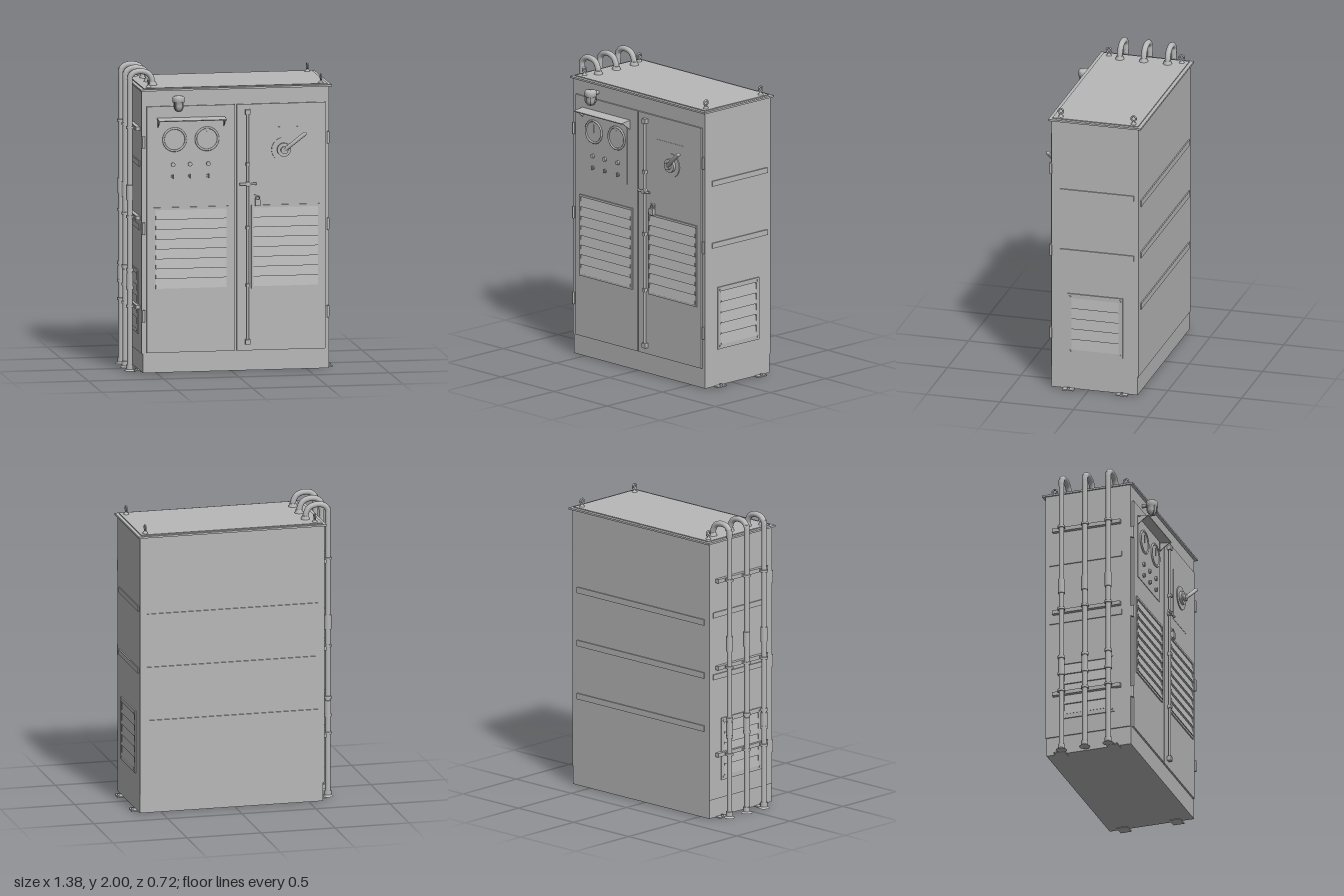
import * as THREE from 'three';

export function createModel() {
  const root = new THREE.Group();
  root.name = 'electricalCabinet';
  const paint = new THREE.MeshStandardMaterial({ color: 0xb8b8b8 });
  paint.name = 'greyPaint';

  const add = (name, geo, x = 0, y = 0, z = 0, parent = root) => {
    const m = new THREE.Mesh(geo, paint);
    m.name = name;
    m.position.set(x, y, z);
    parent.add(m);
    return m;
  };
  // Box given by its limits on each axis
  const box = (name, x0, x1, y0, y1, z0, z1, parent = root) =>
    add(name, new THREE.BoxGeometry(x1 - x0, y1 - y0, z1 - z0),
      (x0 + x1) / 2, (y0 + y1) / 2, (z0 + z1) / 2, parent);
  const cyl = (name, r0, r1, h, x, y, z, parent = root, seg = 20) =>
    add(name, new THREE.CylinderGeometry(r0, r1, h, seg), x, y, z, parent);
  // Disc whose axis points to the front
  const disc = (name, r, x, y, z0, z1, parent = root) => {
    const m = cyl(name, r, r, z1 - z0, x, y, (z0 + z1) / 2, parent, 32);
    m.rotation.x = Math.PI / 2;
    return m;
  };
  const tube = (name, pts, r, parent = root) => add(name, new THREE.TubeGeometry(
    new THREE.CatmullRomCurve3(pts.map(p => new THREE.Vector3(...p))), 40, r, 14), 0, 0, 0, parent);

  // Body, plinth and roof
  box('body', -0.6, 0.645, 0.13, 1.87, -0.34, 0.25);
  box('plinth', -0.592, 0.645, 0.004, 0.13, -0.335, 0.25);
  box('roofFlange', -0.61, 0.66, 1.868, 1.88, -0.36, 0.27);
  box('roofPlate', -0.586, 0.637, 1.88, 1.886, -0.336, 0.246);

  // Doors, with their hinges
  box('leftHandDoor', -0.567, 0.018, 0.137, 1.765, 0.25, 0.262);
  box('rightHandDoor', 0.03, 0.62, 0.137, 1.765, 0.25, 0.262);
  for (const x of [-0.588, 0.636]) for (const y of [0.38, 0.96, 1.53]) {
    cyl('hinge', 0.008, 0.008, 0.08, x, y, 0.26);
    box('hingeLeaf', x - 0.012, x + 0.012, y - 0.036, y + 0.036, 0.248, 0.256);
  }

  // Louvred panel facing +z around its own centre
  function louvre(name, w, h, count, sw, sh, depth) {
    const g = new THREE.Group();
    g.name = name;
    const s = new THREE.Shape();
    s.moveTo(-w / 2, -h / 2).lineTo(w / 2, -h / 2).lineTo(w / 2, h / 2).lineTo(-w / 2, h / 2).closePath();
    const hole = new THREE.Path();
    hole.moveTo(-sw / 2, -sh / 2).lineTo(-sw / 2, sh / 2).lineTo(sw / 2, sh / 2).lineTo(sw / 2, -sh / 2).closePath();
    s.holes.push(hole);
    add('louvreFrame', new THREE.ExtrudeGeometry(s, { depth: 0.008, bevelEnabled: false }), 0, 0, 0, g);
    const pitch = sh / count;
    // Wedge slat: slopes outwards towards its lower edge
    const p = new THREE.Shape();
    p.moveTo(0, 0).lineTo(-depth, 0).lineTo(0, pitch * 0.96).closePath();
    const slat = new THREE.ExtrudeGeometry(p, { depth: sw, bevelEnabled: false });
    slat.rotateY(Math.PI / 2).translate(-sw / 2, 0, 0);
    for (let i = 0; i < count; i++) add('slat', slat, 0, -sh / 2 + i * pitch, 0, g);
    root.add(g);
    return g;
  }
  // Extruded profile x maps to -z, so negative profile values stand out in front
  louvre('leftHandDoorVent', 0.5, 0.55, 8, 0.47, 0.52, 0.014).position.set(-0.275, 0.822, 0.262);
  louvre('rightHandDoorVent', 0.455, 0.55, 8, 0.43, 0.52, 0.014).position.set(0.353, 0.822, 0.262);
  for (const s of [-1, 1]) {
    const v = louvre('sideVent', 0.375, 0.42, 5, 0.32, 0.36, 0.01);
    v.rotation.y = s * Math.PI / 2;
    v.position.set(s > 0 ? 0.645 : -0.6, 0.46, -0.047);
    for (const a of [-0.17, 0.17]) for (const b of [-0.19, 0.19]) disc('ventScrew', 0.007, a, b, 0.006, 0.013, v);
  }

  // Stiffening strips on the sides and back
  for (const y of [0.96, 1.38]) {
    box('sideStrip', 0.644, 0.653, y - 0.018, y + 0.018, -0.31, 0.19);
    box('sideStrip', -0.608, -0.599, y - 0.018, y + 0.018, -0.31, 0.19);
  }
  for (const y of [0.61, 0.97, 1.33]) box('backStrip', -0.555, 0.6, y - 0.02, y + 0.02, -0.348, -0.339);

  // Feet with anchor bolts
  for (const z of [-0.235, 0.13]) for (const s of [-1, 1]) {
    const x = s > 0 ? 0.645 : -0.59;
    box('foot', x - 0.04, x + 0.04, 0, 0.008, z - 0.038, z + 0.038);
    cyl('footBolt', 0.009, 0.009, 0.012, x + s * 0.024, 0.013, z, root, 6);
  }

  // Lifting eyes
  for (const x of [-0.545, 0.6]) for (const z of [-0.295, 0.2]) {
    const eye = new THREE.Group();
    eye.name = 'liftingEye';
    eye.position.set(x, 1.886, z);
    root.add(eye);
    cyl('eyeCollar', 0.01, 0.018, 0.012, 0, 0.006, 0, eye);
    cyl('eyeShank', 0.007, 0.008, 0.016, 0, 0.016, 0, eye);
    add('eyeRing', new THREE.TorusGeometry(0.016, 0.006, 10, 24), 0, 0.037, 0, eye).rotation.y = Math.PI / 2;
  }

  // Conduits up one side and over onto the roof
  for (const z of [-0.21, -0.048, 0.115]) {
    const c = new THREE.Group();
    c.name = 'conduit';
    c.position.z = z;
    root.add(c);
    cyl('riser', 0.017, 0.017, 1.95, -0.655, 0.98, 0, c);
    tube('bend', [[-0.655, 1.9, 0], [-0.652, 1.945, 0], [-0.625, 1.972, 0], [-0.575, 1.979, 0],
      [-0.53, 1.962, 0], [-0.508, 1.925, 0], [-0.503, 1.885, 0]], 0.019, c);
    cyl('baseFlange', 0.02, 0.037, 0.012, -0.655, 0.007, 0, c);
    cyl('baseCollar', 0.023, 0.023, 0.03, -0.655, 0.027, 0, c);
    cyl('roofGland', 0.022, 0.03, 0.025, -0.503, 1.896, 0, c);
    for (const [y, h, r] of [[1.18, 0.1, 0.023], [0.67, 0.02, 0.024], [0.6, 0.1, 0.022], [0.55, 0.02, 0.024]])
      cyl('coupling', r, r, h, -0.655, y, 0, c);
    for (const y of [0.43, 1.02, 1.61]) {
      cyl('clamp', 0.025, 0.025, 0.016, -0.655, y, 0, c);
      box('clampArm', -0.65, -0.615, y - 0.008, y + 0.008, -0.012, 0.012, c);
    }
  }
  for (const y of [0.43, 1.02, 1.61]) box('clampRail', -0.626, -0.599, y - 0.013, y + 0.013, -0.285, 0.185);

  // Instrument panel with gauges and lamps
  box('instrumentPanel', -0.5, -0.075, 1.25, 1.685, 0.26, 0.266);
  for (const x of [-0.385, -0.17]) {
    disc('gaugeFace', 0.075, x, 1.545, 0.26, 0.271);
    add('gaugeRim', new THREE.TorusGeometry(0.074, 0.007, 10, 40), x, 1.545, 0.271);
    box('gaugeNeedle', x - 0.002, x + 0.002, 1.54, 1.595, 0.27, 0.274);
  }
  for (const x of [-0.395, -0.282, -0.16]) {
    disc('lamp', 0.014, x, 1.38, 0.26, 0.279);
    disc('switchBase', 0.013, x, 1.3, 0.26, 0.274);
    box('switchKey', x - 0.003, x + 0.003, 1.288, 1.312, 0.272, 0.284);
  }

  // Rain hood over the gauges
  const hoodTop = box('hoodTop', -0.5, -0.05, -0.003, 0.003, -0.04, 0.04);
  hoodTop.position.set(-0.275, 1.681, 0.301);
  hoodTop.rotation.x = 0.12;
  const gusset = new THREE.Shape();
  gusset.moveTo(0, 0).lineTo(-0.072, 0).lineTo(0, -0.055).closePath();
  const gussetGeo = new THREE.ExtrudeGeometry(gusset, { depth: 0.006, bevelEnabled: false }).rotateY(Math.PI / 2);
  for (const x of [-0.498, -0.06]) add('hoodGusset', gussetGeo, x, 1.68, 0.262);

  // Beacon under the roof edge
  const beacon = new THREE.Group();
  beacon.name = 'beacon';
  beacon.position.set(-0.367, 0, 0.316);
  root.add(beacon);
  add('beaconBody', new THREE.LatheGeometry([[0, 1.738], [0.014, 1.742], [0.026, 1.755], [0.031, 1.775], [0.031, 1.8],
    [0.04, 1.8], [0.04, 1.828], [0.034, 1.838], [0, 1.842]].map(p => new THREE.Vector2(...p)), 28), 0, 0, 0, beacon);
  for (let i = 0; i < 4; i++) {
    const a = Math.PI / 4 + i * Math.PI / 2;
    tube('beaconGuard', [[0.036, 1.8], [0.036, 1.768], [0.02, 1.742], [0, 1.736]]
      .map(([r, y]) => [r * Math.cos(a), y, r * Math.sin(a)]), 0.003, beacon);
  }
  disc('beaconArm', 0.012, 0, 1.813, -0.07, -0.03, beacon);

  // Main switch handle
  box('switchPlate', 0.2, 0.45, 1.25, 1.61, 0.26, 0.264);
  disc('switchDisc', 0.08, 0.34, 1.46, 0.26, 0.27);
  disc('switchBoss', 0.045, 0.34, 1.46, 0.27, 0.288);
  disc('switchHub', 0.024, 0.34, 1.46, 0.288, 0.308);
  tube('switchLever', [[0.325, 1.447, 0.292], [0.355, 1.473, 0.302], [0.39, 1.503, 0.314],
    [0.43, 1.536, 0.321], [0.47, 1.568, 0.325]], 0.013);
  add('leverTip', new THREE.SphereGeometry(0.013, 14, 10), 0.47, 1.568, 0.325);

  // Door locking rod with guides and crossbar
  cyl('lockRod', 0.008, 0.008, 1.54, 0.1, 0.955, 0.274);
  for (const y of [0.195, 0.57, 0.95, 1.37, 1.715]) {
    const h = y < 0.3 || y > 1.6 ? 0.016 : 0.011;
    box('rodGuide', 0.1 - h, 0.1 + h, y - h, y + h, 0.26, 0.288);
  }
  disc('crossbarHub', 0.016, 0.1, 1.24, 0.26, 0.294);
  cyl('crossbar', 0.008, 0.008, 0.11, 0.1, 1.24, 0.286).rotation.z = Math.PI / 2;

  // Padlock
  box('padlockHasp', 0.145, 0.185, 1.085, 1.165, 0.26, 0.266);
  box('padlockBody', 0.149, 0.183, 1.092, 1.135, 0.266, 0.285);
  add('padlockShackle', new THREE.TorusGeometry(0.012, 0.004, 8, 16, Math.PI), 0.166, 1.145, 0.275);
  for (const x of [0.154, 0.178]) cyl('shackleLeg', 0.004, 0.004, 0.014, x, 1.139, 0.275);

  return root;
}
